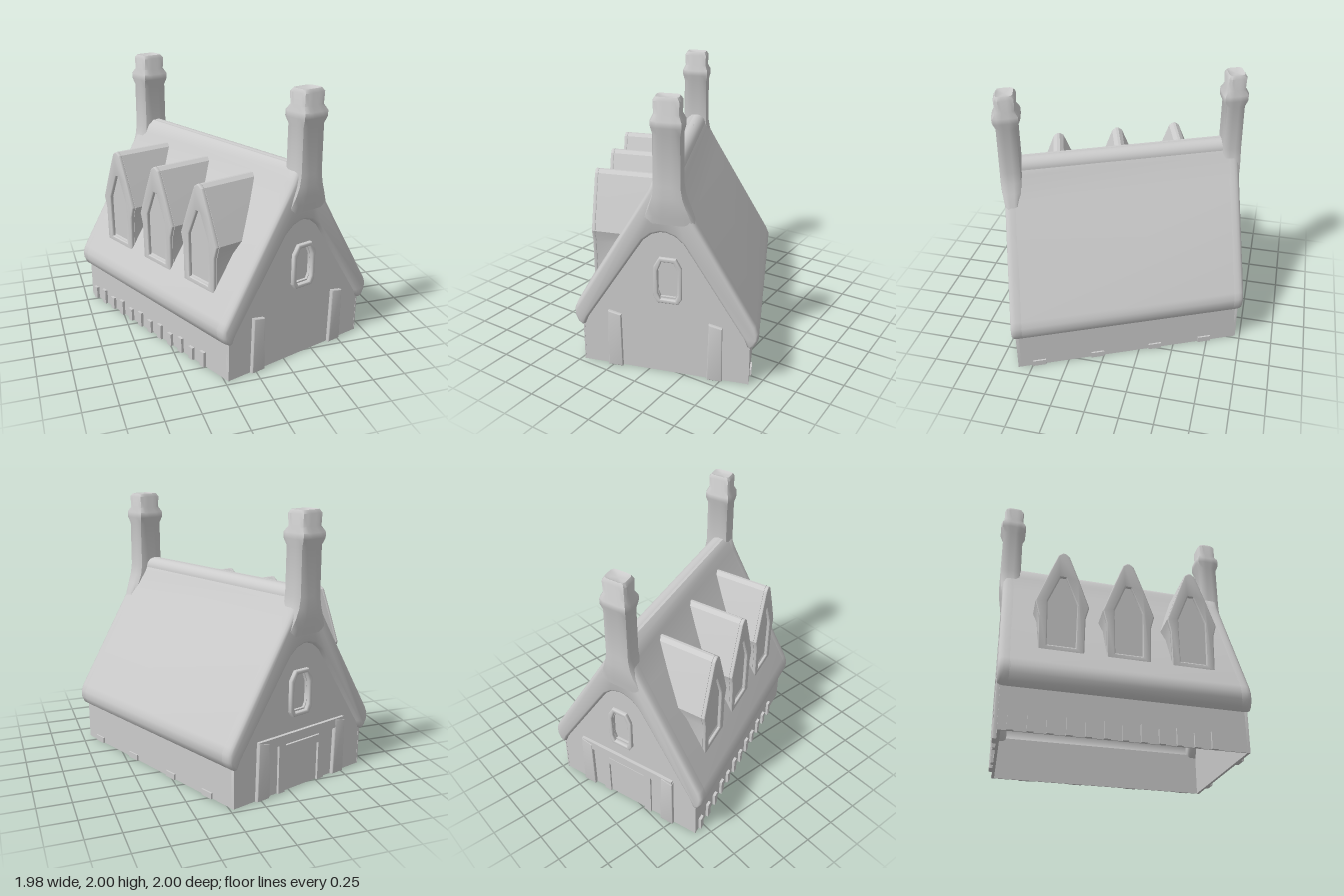
import * as THREE from 'three';
import { toCreasedNormals } from 'three/addons/utils/BufferGeometryUtils.js';

// The house stands turned and slightly skewed: local x runs across it, local z along its ridge.
const SKEW = new THREE.Matrix4().set(
  0.954, 0, 0.415, 0,
  0, 1, 0, 0,
  -0.298, 0, 0.91, 0,
  0, 0, 0, 1);

const material = new THREE.MeshStandardMaterial({ color: 0xcccccc, side: THREE.DoubleSide });

function part(group, name, geometry, crease = 0.6) {
  const g = toCreasedNormals(geometry.applyMatrix4(SKEW), crease);
  const mesh = new THREE.Mesh(g, material);
  mesh.name = name;
  group.add(mesh);
}

const shapeOf = (pts) => new THREE.Shape(pts.map(([x, y]) => new THREE.Vector2(x, y)));

// Full outline from its right half, listed from the bottom up
const mirrored = (half) => [...half, ...half.slice().reverse().map(([x, y]) => [-x, y])];

const extrude = (shape, depth, bevel = 0, size = bevel) => new THREE.ExtrudeGeometry(shape, {
  depth: depth - 2 * bevel, bevelEnabled: bevel > 0, bevelThickness: bevel,
  bevelSize: size, bevelOffset: -size, bevelSegments: 3,
}).translate(0, 0, bevel);

const box = (w, h, d, x, y, z) => new THREE.BoxGeometry(w, h, d).translate(x, y, z);

// Window outline with chamfered corners
const windowOutline = (w, y0, y1, x = 0) =>
  mirrored([[w * 0.75, y0], [w, y0 + 0.04], [w, y1 - 0.07], [w * 0.6, y1]]).map(([px, py]) => [px + x, py]);

function windowFrame(w, y0, y1, rim, depth) {
  const s = shapeOf(windowOutline(w, y0, y1));
  s.holes.push(shapeOf(windowOutline(w - rim, y0 + rim, y1 - rim)));
  return extrude(s, depth, 0.01);
}

// Chimney: rounded rectangles stacked along y
function chimney() {
  const rows = [ // y, half width, half depth
    [1.1, 0.205, 0.045], [1.2, 0.172, 0.062], [1.27, 0.142, 0.074], [1.34, 0.115, 0.078], [1.42, 0.101, 0.078],
    [1.76, 0.1, 0.076], [1.81, 0.112, 0.098], [1.85, 0.112, 0.098], [1.89, 0.092, 0.072], [1.975, 0.094, 0.076],
    [2.0, 0.078, 0.06], [1.99, 0.05, 0.04], [1.99, 0, 0]];
  const g = new THREE.LatheGeometry(rows.map(([y]) => new THREE.Vector2(1, y)), 24);
  const p = g.attributes.position;
  for (let i = 0; i < p.count; i++) {
    const [, a, b] = rows[i % rows.length];
    const c = p.getX(i), s = p.getZ(i);
    const k = 1 / Math.pow(Math.abs(c) ** 6 + Math.abs(s) ** 6, 1 / 6);
    p.setXYZ(i, c * k * a, p.getY(i), s * k * b);
  }
  return g;
}

// Roof skin: a sheet bent over the roof profile
function roofSkin(profile, halfLength) {
  const g = new THREE.PlaneGeometry(2, 1, 1, profile.length - 1);
  const p = g.attributes.position;
  for (let i = 0; i < p.count; i++) {
    const [x, y] = profile[Math.floor(i / 2)];
    p.setXYZ(i, x, y, p.getX(i) * halfLength);
  }
  return g;
}

const dormerOutline = mirrored([
  [0.16, 0.58], [0.165, 0.86], [0.19, 0.95], [0.115, 1.15], [0.04, 1.335], [0.01, 1.357]]);

// Dormer: a tall gabled body, its back cut off along the roof slope
function dormerBody(front) {
  const g = extrude(shapeOf(dormerOutline), 1).rotateY(Math.PI / 2);
  const p = g.attributes.position;
  for (let i = 0; i < p.count; i++) {
    p.setX(i, p.getX(i) > 0.5 ? -(1.45 - p.getY(i)) / 1.65 : front);
  }
  return g;
}

// Dormer face: a rim around a sunken pointed panel
function dormerFace() {
  const s = shapeOf(dormerOutline);
  s.holes.push(shapeOf(mirrored([[0.1, 0.63], [0.105, 0.96], [0.02, 1.16]])));
  return extrude(s, 0.03, 0.01).rotateY(-Math.PI / 2);
}

export function createModel() {
  const house = new THREE.Group();
  house.name = 'house';

  // Hollow roof with a thick arched rim at each gable
  const outer = [[0.61, 0.29], [0.645, 0.315], [0.667, 0.365], [0.667, 0.42], [0.645, 0.47],
    [0.2, 1.2], [0.1, 1.37], [0.07, 1.44], [0.03, 1.475]];
  const inner = [[0.59, 0.3], [0.565, 0.36], [0.2, 0.92], [0.14, 1.01], [0.08, 1.06], [0.02, 1.08]];
  part(house, 'roof', roofSkin(mirrored(outer), 0.81), 0.7);
  const rim = shapeOf([...mirrored(outer), ...mirrored(inner).reverse()]);
  for (const z of [-0.885, 0.765]) {
    part(house, 'gableRim', extrude(rim, 0.12, 0.04, 0.022).translate(0, 0, z), 0.8);
  }

  // Rounded ridge cap
  const ridge = new THREE.CylinderGeometry(0.075, 0.075, 1.6, 16, 1, true, 0, Math.PI);
  ridge.rotateZ(Math.PI / 2).rotateY(Math.PI / 2).rotateZ(0);
  ridge.computeBoundingBox();
  part(house, 'ridgeCap', ridge.translate(0.01, 1.478 - ridge.boundingBox.max.y, 0));

  // Low side walls
  for (const s of [-1, 1]) {
    part(house, 'sideWall', box(0.01, 0.32, 1.72, s * 0.604, 0.16, 0));
  }

  for (const s of [1, -1]) {
    const gable = new THREE.Group();
    gable.name = s > 0 ? 'frontGable' : 'backGable';
    house.add(gable);
    const turn = (g) => (s > 0 ? g : g.rotateY(Math.PI));

    // Gable wall with a window opening and a sunken pane
    const wall = shapeOf(mirrored([[0.609, 0], [0.609, 0.3], [0.57, 0.4], [0.19, 0.99], [0.06, 1.12]]));
    wall.holes.push(shapeOf(windowOutline(0.07, 0.6, 0.86, 0.03 * s)));
    part(gable, 'gableWall', turn(extrude(wall, 0.02).translate(0, 0, 0.838)));
    part(gable, 'windowPane', turn(box(0.16, 0.3, 0.01, 0.03 * s, 0.73, 0.825)));
    part(gable, 'windowFrame', turn(windowFrame(0.1, 0.56, 0.9, 0.03, 0.035).translate(0.03 * s, 0, 0.85)));

    // Timber posts
    for (const x of [-0.365, 0.365]) {
      const post = shapeOf([[-0.055, 0], [0.055, 0], [0.05, 0.42], [-0.045, 0.44]]);
      part(gable, 'post', turn(extrude(post, 0.04, 0.008).translate(x, 0, 0.845)));
    }
    // Doorway on the back gable
    if (s < 0) {
      part(gable, 'lintel', turn(box(0.82, 0.07, 0.04, 0, 0.41, 0.862)));
      for (const x of [-0.19, 0.19]) part(gable, 'doorJamb', turn(box(0.06, 0.38, 0.03, x, 0.19, 0.86)));
      part(gable, 'doorHead', turn(box(0.36, 0.06, 0.03, 0, 0.33, 0.86)));
    }
    // Chimney over the gable
    part(gable, 'chimney', chimney().translate(s > 0 ? 0.035 : 0, 0, s * 0.832), 0.75);
  }

  // Three dormers along the right slope
  for (const z of [-0.47, 0.01, 0.49]) {
    const dormer = new THREE.Group();
    dormer.name = 'dormer';
    house.add(dormer);
    part(dormer, 'dormerBody', dormerBody(-0.54).translate(0, 0, z), 0.5);
    part(dormer, 'dormerFace', dormerFace().translate(-0.538, 0, z), 0.5);
  }

  // Short pickets along the foot of the right wall, low stones along the left
  for (let i = 0; i < 12; i++) {
    const h = 0.1 + 0.02 * (i % 2);
    part(house, 'picket', box(0.03, h, 0.045, -0.615, h / 2, -0.78 + i * 0.125));
  }
  for (const z of [-0.6, -0.2, 0.25, 0.7]) {
    part(house, 'footStone', box(0.02, 0.045, 0.1, 0.612, 0.0225, z));
  }

  return house;
}
